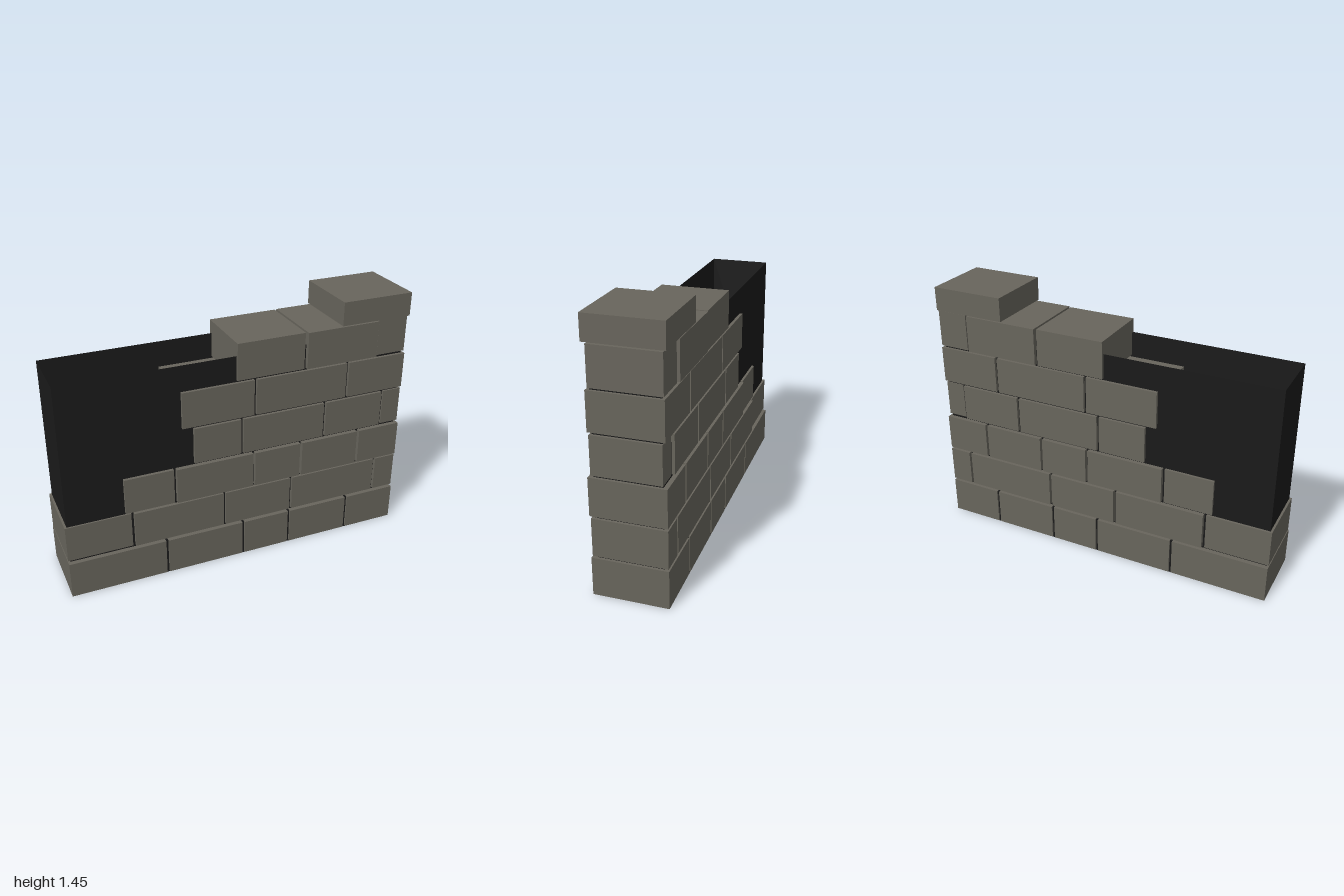
import * as THREE from 'three';

const stone = new THREE.MeshStandardMaterial({ color: 0x68655c });
stone.name = 'stone';
const mortar = new THREE.MeshStandardMaterial({ color: 0x1a1a1a, side: THREE.DoubleSide });
mortar.name = 'darkMortar';

// Box given by its min and max corners, with chosen faces left out
// (0 +x, 1 -x, 2 top, 3 bottom, 4 front, 5 back)
function block(name, material, x0, x1, y0, y1, z0, z1, skip = []) {
  const geo = new THREE.BoxGeometry(x1 - x0, y1 - y0, z1 - z0);
  const index = Array.from(geo.index.array).filter((_, i) => !skip.includes(Math.floor(i / 6)));
  geo.setIndex(index);
  geo.clearGroups();
  const mesh = new THREE.Mesh(geo, material);
  mesh.name = name;
  mesh.position.set((x0 + x1) / 2, (y0 + y1) / 2, (z0 + z1) / 2);
  return mesh;
}

// Courses from the ground up: height range, depth range, left end and joints;
// startZ and endZ are the depth ranges of a recessed first or last brick
const GAP = 0.014;
const courses = [
  { y: [0, 0.212], z: [-0.2, 0.2], x: [-1, -0.448, 0.013, 0.302, 0.684, 1] },
  { y: [0.225, 0.433], z: [-0.198, 0.192], startZ: [-0.186, 0.182], x: [-1, -0.632, -0.1, 0.312, 0.865, 1] },
  { y: [0.445, 0.652], z: [-0.197, 0.199], startZ: [-0.187, 0.191], x: [-0.67, -0.386, 0.074, 0.364, 0.732, 1] },
  { y: [0.665, 0.873], z: [-0.19, 0.19], endZ: [-0.176, 0.183], x: [-0.273, 0.005, 0.508, 0.88, 1] },
  { y: [0.886, 1.093], z: [-0.19, 0.19], x: [-0.337, 0.08, 0.638, 1] },
  { y: [1.105, 1.313], z: [-0.197, 0.198], startZ: [-0.192, 0.188], endZ: [-0.186, 0.178], x: [-0.026, 0.372, 0.816, 1] },
  { y: [1.32, 1.453], z: [-0.2, 0.2], x: [0.582, 1] },
];

export function createModel() {
  const wall = new THREE.Group();
  wall.name = 'ruinedBrickWall';

  // Hollow mortar core, open above, standing on a wider lining of the lowest course
  wall.add(block('mortarCore', mortar, -0.988, 0.985, 0.2, 1.24, -0.173, 0.173, [2, 3]));
  wall.add(block('mortarLining', mortar, -0.99, 0.99, 0.001, 0.21, -0.19, 0.19, [3]));

  // Thin mortar rim under the outer edge of the lowest course
  for (const s of [-1, 1]) {
    const [z0, z1] = s < 0 ? [-0.199, -0.19] : [0.19, 0.199];
    const [x0, x1] = s < 0 ? [-0.999, -0.99] : [0.99, 0.999];
    wall.add(block('mortarBedLong', mortar, -0.999, 0.999, 0.001, 0.004, z0, z1));
    wall.add(block('mortarBedEnd', mortar, x0, x1, 0.001, 0.004, -0.19, 0.19));
  }

  // Brick courses
  courses.forEach(({ y, z, startZ = z, endZ = z, x }, row) => {
    const course = new THREE.Group();
    course.name = `course${row + 1}`;
    const last = x.length - 2;
    for (let i = 0; i <= last; i++) {
      const x0 = x[i] + (i > 0 ? GAP / 2 : 0);
      const x1 = x[i + 1] - (i < last ? GAP / 2 : 0);
      const [z0, z1] = i === last ? endZ : i === 0 ? startZ : z;
      course.add(block('brick', stone, x0, x1, y[0], y[1], z0, z1, row === 0 ? [3] : []));
    }
    wall.add(course);
  });

  // Loose chips lying inside the core
  const chips = [
    [-0.83, -0.71, 0.433, 0.03, -0.165, -0.105],
    [-0.87, -0.7, 0.433, 0.03, 0.055, 0.14],
    [-0.885, -0.75, 0.433, 0.015, 0.09, 0.152],
    [-0.4, -0.32, 0.652, 0.03, -0.165, -0.095],
  ];
  for (const [x0, x1, y, h, z0, z1] of chips) {
    wall.add(block('stoneChip', stone, x0, x1, y, y + h, z0, z1));
  }
  return wall;
}
